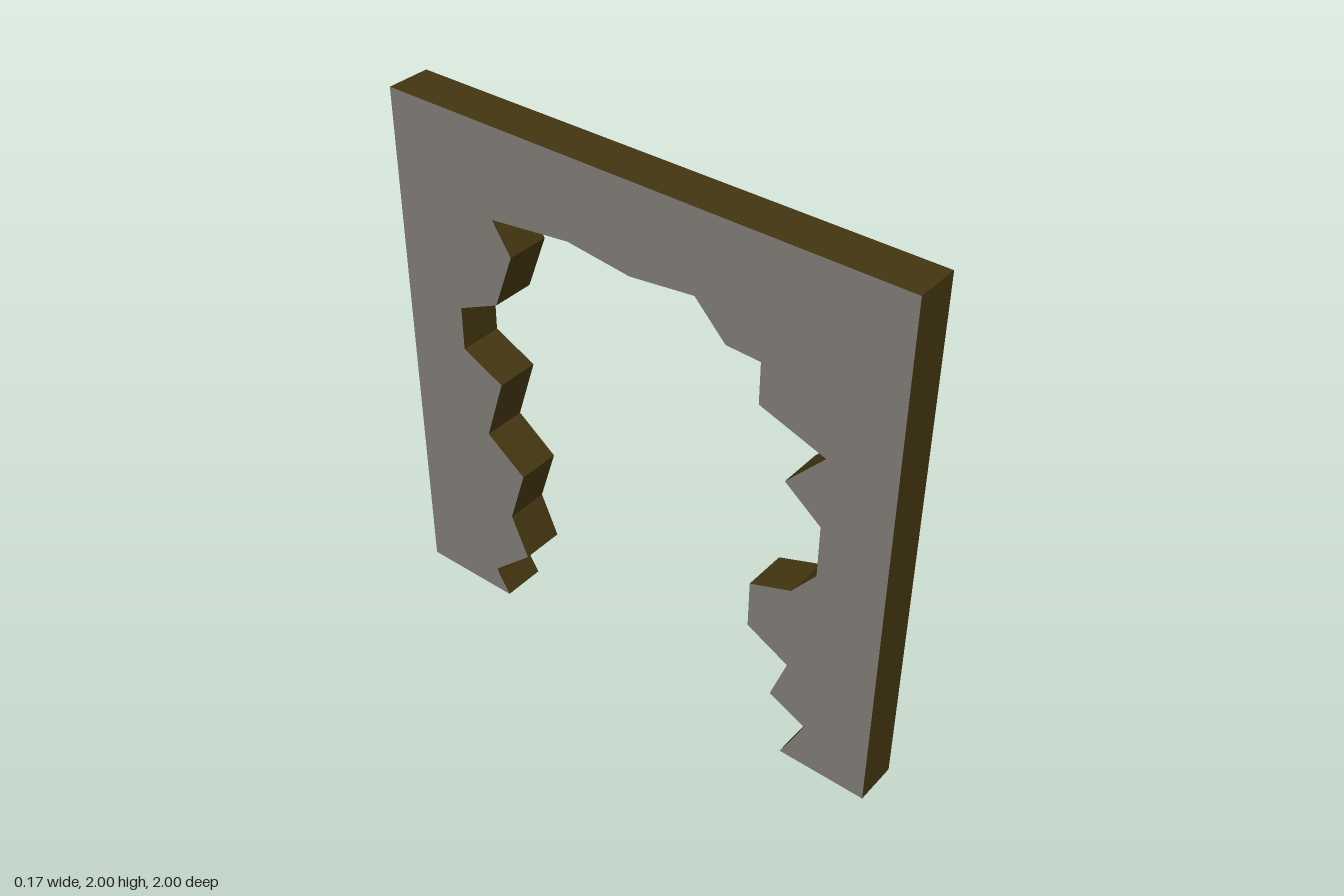
import * as THREE from 'three';

const HALF = 0.083; // half the wall thickness
const SKIRT = 0.075; // height of the red skirting

const mat = (name, color, side = THREE.FrontSide) => {
  const m = new THREE.MeshStandardMaterial({ color, side });
  m.name = name;
  return m;
};

// Broken edge of the opening as [z, y], from the +z foot over to the -z foot
const opening = [
  [0.66, 0], [0.70, SKIRT], [0.75, 0.18], [0.605, 0.25], [0.665, 0.42], [0.5, 0.505],
  [0.5, 0.69], [0.66, 0.75], [0.75, 0.865], [0.75, 1.065], [0.61, 1.175], [0.75, 1.33],
  [0.5, 1.415], [0.5, 1.57], [0.37, 1.575], [0.25, 1.7], [0, 1.67], [-0.25, 1.7],
  [-0.575, 1.66], [-0.5, 1.545], [-0.58, 1.33], [-0.75, 1.25], [-0.75, 1.08], [-0.58, 1],
  [-0.66, 0.75], [-0.5, 0.63], [-0.57, 0.41], [-0.5, 0.25], [-0.665, 0.1], [-0.655, SKIRT],
  [-0.61, 0],
];
const outline = [[1, 0], ...opening, [-1, 0], [-1, 2], [1, 2]];
const painted = [[1, SKIRT], ...opening.slice(1, -1), [-1, SKIRT], [-1, 2], [1, 2]];
const skirts = [
  [[1, 0], opening[0], opening[1], [1, SKIRT]],
  [opening.at(-1), [-1, 0], [-1, SKIRT], opening.at(-2)],
];

// Flat sheet facing +x (dir = 1) or -x (dir = -1)
function sheet(name, points, dir, material) {
  const shape = new THREE.Shape(points.map(([z, y]) => new THREE.Vector2(-z * dir, y)));
  const g = new THREE.ShapeGeometry(shape);
  g.rotateY(dir * Math.PI / 2).translate(dir * HALF, 0, 0);
  const mesh = new THREE.Mesh(g, material);
  mesh.name = name;
  return mesh;
}

// Strip of quads across the wall thickness for the chosen outline edges
function rim(name, keep, material) {
  const pos = [];
  outline.forEach((a, i) => {
    const b = outline[(i + 1) % outline.length];
    if (!keep(a, b)) return;
    const [p, q, r, s] = [[HALF, a], [-HALF, a], [-HALF, b], [HALF, b]].map(([x, [z, y]]) => [x, y, z]);
    pos.push(...p, ...q, ...r, ...p, ...r, ...s);
  });
  const g = new THREE.BufferGeometry();
  g.setAttribute('position', new THREE.Float32BufferAttribute(pos, 3));
  g.computeVertexNormals();
  const mesh = new THREE.Mesh(g, material);
  mesh.name = name;
  return mesh;
}

export function createModel() {
  const blue = mat('bluePaint', 0x788a9c);
  const red = mat('redSkirting', 0x560e10);
  const grey = mat('greyPlaster', 0x7c7872);
  const brown = mat('brownCore', 0x433511);

  const wall = new THREE.Group();
  wall.name = 'brokenWall';

  // Painted side, with a skirting on each foot
  wall.add(sheet('paintedFace', painted, 1, blue));
  skirts.forEach((s, i) => wall.add(sheet(i ? 'backSkirting' : 'frontSkirting', s, 1, red)));

  // Plain side
  wall.add(sheet('plasterFace', outline, -1, grey));

  // Exposed core around the outside and the opening, and the undersides of the feet
  const onFloor = (a, b) => a[1] === 0 && b[1] === 0;
  wall.add(rim('coreEdge', (a, b) => !onFloor(a, b), brown));
  wall.add(rim('footUndersides', onFloor, grey));
  return wall;
}
